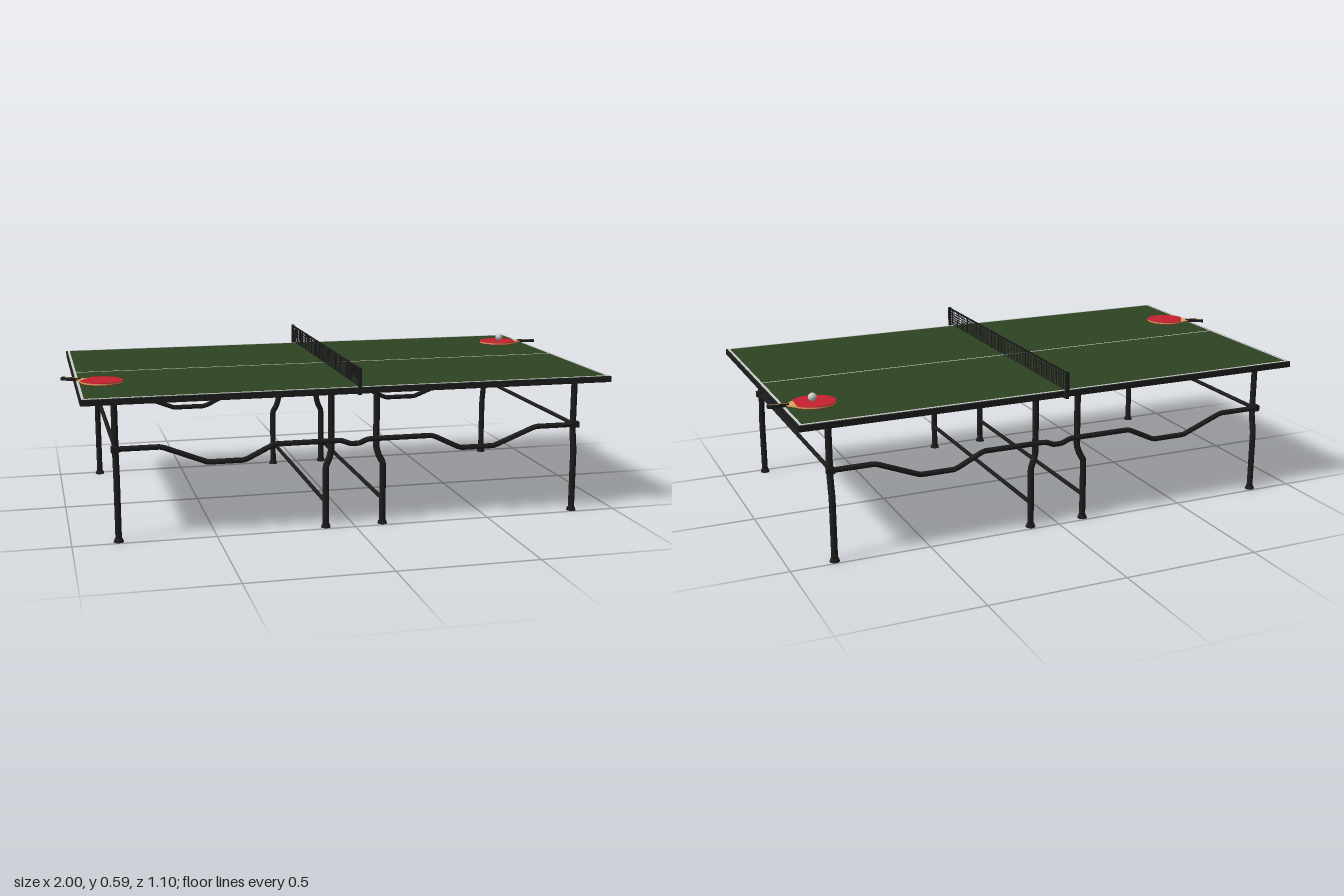
import * as THREE from 'three';
import { mergeGeometries } from 'three/addons/utils/BufferGeometryUtils.js';

const mat = (color) => new THREE.MeshStandardMaterial({ color });
const black = mat(0x1c1c1c);
const green = mat(0x2d4421);
const brown = mat(0x66543c);
const white = mat(0xcccccc);
const red = mat(0xc8202f);
const wood = mat(0xd9a860);

function add(parent, name, geometry, material, x = 0, y = 0, z = 0) {
  const mesh = new THREE.Mesh(geometry, material);
  mesh.name = name;
  mesh.position.set(x, y, z);
  parent.add(mesh);
  return mesh;
}

const box = (w, h, d) => new THREE.BoxGeometry(w, h, d);

// Flat shape laid on the ground plane and raised by its thickness
function slab(shape, height) {
  const g = new THREE.ExtrudeGeometry(shape, { depth: height, bevelEnabled: false, curveSegments: 32 });
  return g.rotateX(-Math.PI / 2);
}

// Round bar following straight runs between points
function bar(points, radius, segments = 48) {
  const path = new THREE.CurvePath();
  const p = points.map((a) => new THREE.Vector3(...a));
  for (let i = 1; i < p.length; i++) path.add(new THREE.LineCurve3(p[i - 1], p[i]));
  return new THREE.TubeGeometry(path, segments, radius, 10);
}

function rectangle(path, w, d) {
  path.moveTo(-w, -d);
  path.lineTo(w, -d);
  path.lineTo(w, d);
  path.lineTo(-w, d);
  path.closePath();
  return path;
}

function createTop() {
  const top = new THREE.Group();
  top.name = 'tableTop';
  // Rim with a recessed board underneath
  const rim = rectangle(new THREE.Shape(), 0.955, 0.53);
  rim.holes.push(rectangle(new THREE.Path(), 0.9, 0.475));
  add(top, 'rim', slab(rim, 0.021), black, 0, 0.491, 0);
  add(top, 'underside', box(1.8, 0.008, 0.95), brown, 0, 0.507, 0);
  add(top, 'playingSurface', box(1.9, 0.003, 1.05), green, 0, 0.5115, 0);
  // Painted lines
  for (const s of [-1, 1]) {
    add(top, 'sideLine', box(1.9, 0.002, 0.009), white, 0, 0.513, s * 0.5205);
    add(top, 'endLine', box(0.009, 0.002, 1.05), white, s * 0.9455, 0.513, 0);
  }
  add(top, 'centreLine', box(1.9, 0.002, 0.005), white, 0, 0.513, 0);
  return top;
}

function createNet() {
  const net = new THREE.Group();
  net.name = 'net';
  const strings = [];
  for (let i = 0; i <= 80; i++) {
    strings.push(box(0.002, 0.065, 0.0026).translate(0, 0.55, -0.545 + i * 0.013625));
  }
  for (let i = 0; i <= 6; i++) {
    strings.push(box(0.002, 0.0024, 1.09).translate(0, 0.519 + i * 0.01, 0));
  }
  add(net, 'netMesh', mergeGeometries(strings), black);
  add(net, 'netTape', box(0.004, 0.006, 1.1), black, 0, 0.582, 0);
  for (const s of [-1, 1]) {
    add(net, 'netPost', box(0.012, 0.096, 0.009), black, 0, 0.538, s * 0.547);
    add(net, 'netClamp', box(0.012, 0.022, 0.026), black, 0, 0.501, s * 0.538);
  }
  return net;
}

function createFrame() {
  const frame = new THREE.Group();
  frame.name = 'underframe';
  for (const sz of [-1, 1]) {
    for (const sx of [-1, 1]) {
      // Outer legs splay sideways, inner legs splay lengthwise
      const outer = [[0.84, 0.505, 0.466], [0.84, 0.3, 0.466], [0.84, 0.23, 0.48], [0.84, 0.005, 0.48]];
      const inner = [[0.083, 0.505, 0.468], [0.083, 0.28, 0.468], [0.09, 0.255, 0.472],
        [0.105, 0.225, 0.478], [0.105, 0.005, 0.478]];
      for (const [name, pts] of [['outerLeg', outer], ['innerLeg', inner]]) {
        const placed = pts.map(([x, y, z]) => [x * sx, y, z * sz]);
        add(frame, name, bar(placed, 0.0115), black);
        const [x, , z] = placed[placed.length - 1];
        add(frame, 'foot', new THREE.CylinderGeometry(0.014, 0.018, 0.012, 12), black, x, 0.006, z);
      }
      add(frame, 'railEnd', box(0.028, 0.022, 0.02), black, sx * 0.842, 0.328, sz * 0.48);
    }
    // Folding side rail, mirrored about the middle
    const half = [[0.85, 0.328], [0.685, 0.328], [0.525, 0.265], [0.395, 0.265],
      [0.29, 0.316], [0.05, 0.316], [0.015, 0.302]];
    const rail = [...half.map(([x, y]) => [-x, y]), ...half.slice().reverse()];
    add(frame, 'sideRail', bar(rail.map(([x, y]) => [x, y, sz * 0.48]), 0.0095, 110), black);
  }
  // Cross bars joining each pair of legs
  for (const sx of [-1, 1]) {
    add(frame, 'upperCrossBar', bar([[sx * 0.84, 0.328, -0.47], [sx * 0.84, 0.328, 0.47]], 0.0075, 2), black);
    add(frame, 'lowerCrossBar', bar([[sx * 0.105, 0.092, -0.478], [sx * 0.105, 0.092, 0.478]], 0.0075, 2), black);
  }
  return frame;
}

function createPaddle(x, z, turn) {
  const paddle = new THREE.Group();
  paddle.name = 'paddle';
  const cut = 0.57;
  const face = new THREE.Shape();
  face.absellipse(0, 0, 0.077, 0.07, cut, Math.PI * 2 - cut, false, 0);
  face.closePath();
  // Blade tapers into the handle
  const blade = new THREE.Shape();
  blade.absellipse(0, 0, 0.077, 0.07, cut, Math.PI * 2 - cut, false, 0);
  blade.lineTo(0.095, -0.008);
  blade.lineTo(0.095, 0.008);
  blade.closePath();
  add(paddle, 'lowerRubber', slab(face, 0.002), red, 0, 0.0005, 0);
  add(paddle, 'blade', slab(blade, 0.005), wood, 0, 0.0025, 0);
  add(paddle, 'upperRubber', slab(face, 0.002), red, 0, 0.0075, 0);
  add(paddle, 'handle', box(0.073, 0.011, 0.016), black, 0.1215, 0.0055, 0);
  add(paddle, 'handleInlay', box(0.068, 0.012, 0.004), wood, 0.1215, 0.0055, 0);
  paddle.position.set(x, 0.5135, z);
  paddle.rotation.y = turn;
  return paddle;
}

export function createModel() {
  const model = new THREE.Group();
  model.name = 'tableTennisTable';
  model.add(createTop(), createNet(), createFrame());
  model.add(createPaddle(0.842, -0.315, -0.06), createPaddle(-0.863, 0.225, 2.6));
  add(model, 'ball', new THREE.SphereGeometry(0.015, 24, 16), white, 0.847, 0.538, -0.318);
  return model;
}
